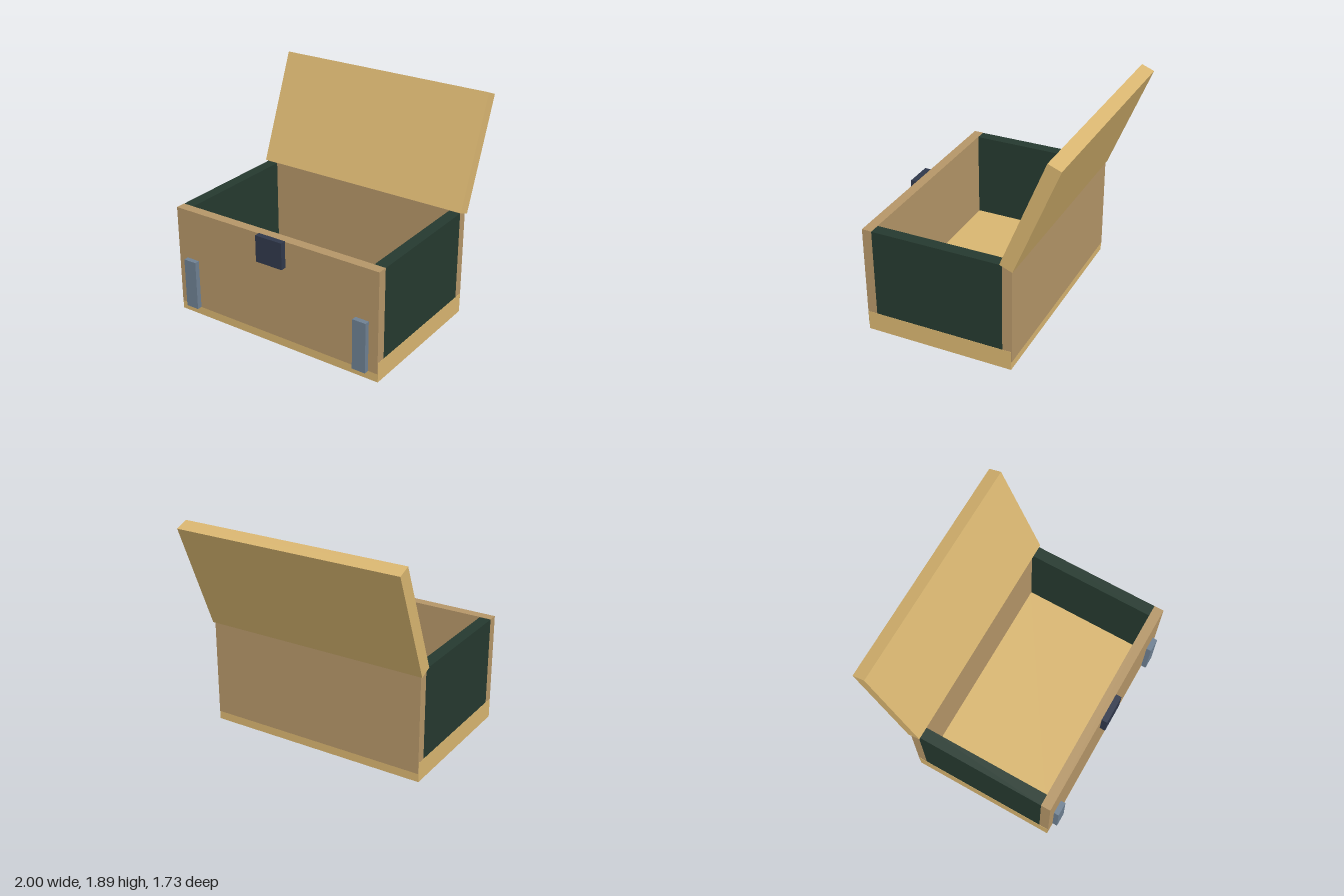
import * as THREE from 'three';

const material = (name, color) => {
  const m = new THREE.MeshStandardMaterial({ color });
  m.name = name;
  return m;
};

export function createModel() {
  const lightWood = material('light wood', 0xd8b570);
  const brownWood = material('brown wood', 0xb59668);
  const green = material('dark green', 0x25392f);
  const navy = material('navy', 0x30384b);
  const steel = material('steel blue', 0x6e8092);

  const group = new THREE.Group();
  group.name = 'chest';

  // Box given by its lower and upper bounds
  const box = (name, mat, [x0, y0, z0], [x1, y1, z1]) => {
    const mesh = new THREE.Mesh(new THREE.BoxGeometry(x1 - x0, y1 - y0, z1 - z0), mat);
    mesh.position.set((x0 + x1) / 2, (y0 + y1) / 2, (z0 + z1) / 2);
    mesh.name = name;
    group.add(mesh);
    return mesh;
  };

  // Floor slab, with the front and back panels lapping over it
  box('base', lightWood, [-0.987, 0, -0.477], [0.987, 0.172, 0.816]);
  box('frontPanel', brownWood, [-0.985, 0.075, 0.735], [0.985, 0.955, 0.82]);
  box('backPanel', brownWood, [-0.985, 0.075, -0.482], [0.985, 0.955, -0.4]);

  // Mirrored side walls and front corner straps
  for (const [side, s] of [['left', 1], ['right', -1]]) {
    const span = (a, b) => (s > 0 ? [a, b] : [-b, -a]);
    const [w0, w1] = span(0.885, 0.985);
    box(side + 'Wall', green, [w0, 0.172, -0.4], [w1, 0.953, 0.735]);
    const [b0, b1] = span(0.78, 0.9);
    box(side + 'Strap', steel, [b0, 0.075, 0.82], [b1, 0.513, 0.864]);
  }

  // Clasp
  box('clasp', navy, [-0.126, 0.73, 0.82], [0.126, 0.96, 0.87]);

  // Open lid leaning backwards
  const lid = box('lid', lightWood, [-1, 0, 0], [1, 0.997, 0.117]);
  lid.position.set(0, 1.405, -0.624);
  lid.rotation.x = -0.382;

  return group;
}
